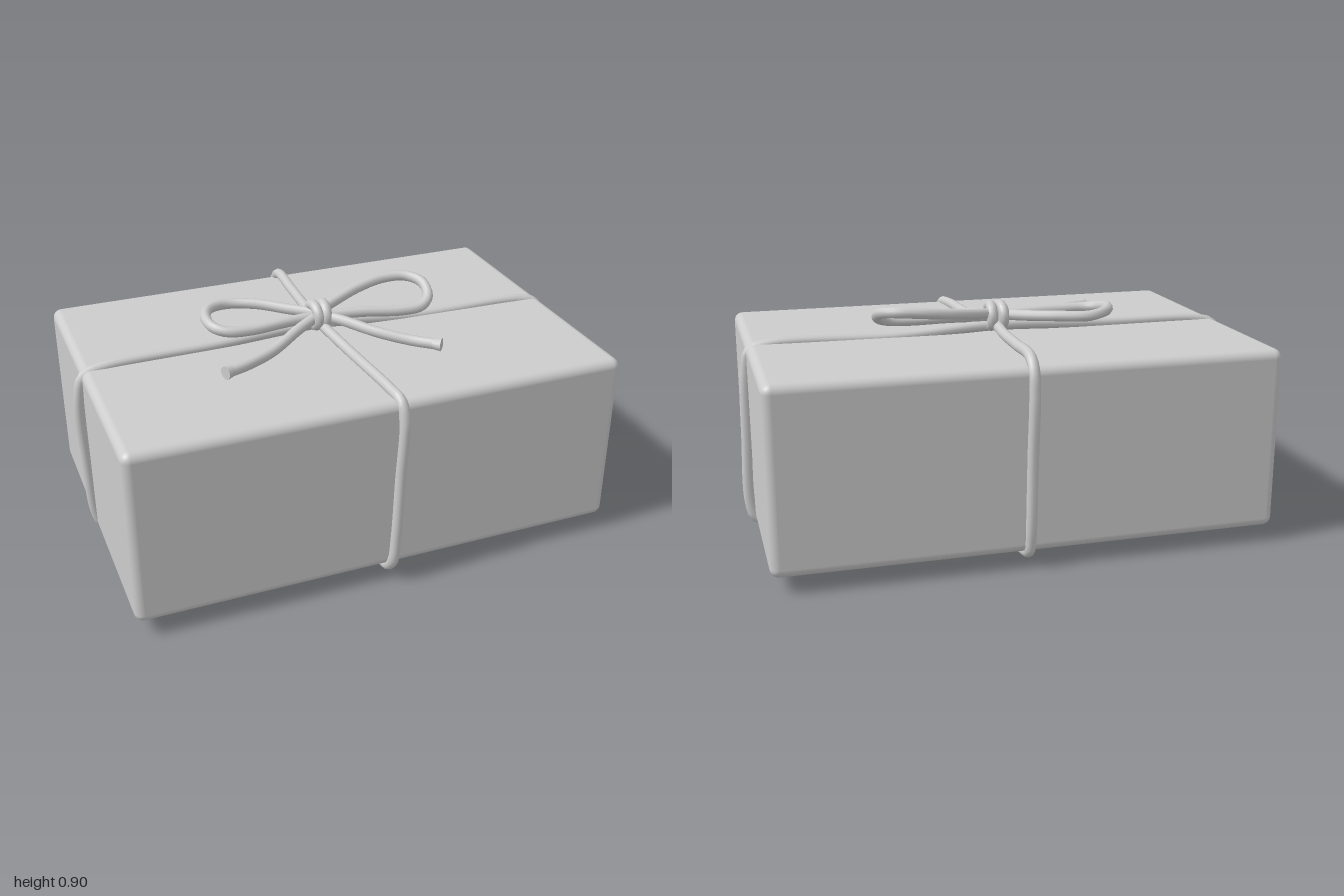
import * as THREE from 'three';
import { RoundedBoxGeometry } from 'three/addons/geometries/RoundedBoxGeometry.js';

const R = 0.021; // string radius

export function createModel() {
  const model = new THREE.Group();
  model.name = 'parcel';
  const grey = new THREE.MeshStandardMaterial({ color: 0xcccccc });
  grey.name = 'light grey';

  const add = (name, geometry, parent = model) => {
    const mesh = new THREE.Mesh(geometry, grey);
    mesh.name = name;
    parent.add(mesh);
    return mesh;
  };
  const curveOf = (points, closed = false) =>
    new THREE.CatmullRomCurve3(points.map((p) => new THREE.Vector3(...p)), closed, 'centripetal');
  const string = (name, points, closed, parent) =>
    add(name, new THREE.TubeGeometry(curveOf(points, closed), closed ? 200 : 56, R, 10, closed), parent);

  // Box with softly rounded edges
  add('box', new RoundedBoxGeometry(1.92, 0.7, 1.256, 4, 0.035)).position.set(0, 0.41, -0.005);

  // String running left to right around the box
  string('lengthwiseString', [
    [0, 0.785, -0.045], [-0.45, 0.768, -0.04], [-0.88, 0.758, -0.036], [-0.95, 0.735, -0.035],
    [-0.976, 0.65, -0.035], [-0.972, 0.35, -0.04], [-0.96, 0.13, -0.04], [-0.938, 0.075, -0.04],
    [-0.88, 0.062, -0.04], [-0.4, 0.072, -0.04], [-0.2, 0.052, -0.04], [0, 0.033, -0.04],
    [0.15, 0.042, -0.04], [0.45, 0.07, -0.04], [0.88, 0.063, -0.04], [0.955, 0.072, -0.038],
    [0.977, 0.13, -0.034], [0.976, 0.4, -0.02], [0.966, 0.65, -0.005], [0.945, 0.735, -0.005],
    [0.87, 0.757, -0.015], [0.4, 0.757, -0.03],
  ], true);

  // String running front to back around the box
  string('crosswiseString', [
    [-0.008, 0.79, -0.05], [0.02, 0.772, 0.2], [0.045, 0.768, 0.53], [0.053, 0.755, 0.605],
    [0.056, 0.69, 0.634], [0.045, 0.45, 0.638], [0.032, 0.2, 0.644], [0.025, 0.09, 0.636],
    [0.022, 0.045, 0.595], [0.022, 0.034, 0.52], [0.02, 0.028, 0.25], [0.02, 0.021, -0.04],
    [0.02, 0.03, -0.3], [0.02, 0.042, -0.56], [0.02, 0.06, -0.615], [0.019, 0.12, -0.63],
    [0.016, 0.4, -0.637], [0.012, 0.66, -0.642], [0.011, 0.745, -0.625], [0.01, 0.785, -0.575],
    [0.005, 0.785, -0.4], [-0.002, 0.783, -0.2],
  ], true);

  // Bow
  const bow = new THREE.Group();
  bow.name = 'bow';
  model.add(bow);
  string('rightLoop', [
    [-0.02, 0.83, -0.05], [-0.1, 0.832, -0.11], [-0.22, 0.84, -0.195], [-0.33, 0.842, -0.234],
    [-0.41, 0.85, -0.2], [-0.448, 0.85, -0.125], [-0.44, 0.84, -0.05], [-0.395, 0.83, -0.012],
    [-0.3, 0.825, -0.004], [-0.15, 0.825, -0.022], [-0.01, 0.82, -0.04],
  ], false, bow);
  string('leftLoop', [
    [-0.01, 0.835, -0.05], [0.08, 0.845, -0.1], [0.2, 0.862, -0.152], [0.32, 0.876, -0.175],
    [0.41, 0.88, -0.155], [0.46, 0.868, -0.095], [0.455, 0.835, -0.025], [0.41, 0.815, 0.012],
    [0.32, 0.81, 0.012], [0.17, 0.818, -0.015], [-0.01, 0.82, -0.04],
  ], false, bow);

  // Loose ends, each with a slightly flared cut tip
  const tail = (side, points) => {
    string(side + 'Tail', points, false, bow);
    const tangent = curveOf(points).getTangent(1);
    const tip = add(side + 'TailTip', new THREE.CylinderGeometry(R * 1.25, R * 0.98, 0.035, 10), bow);
    tip.position.set(...points[points.length - 1]);
    tip.quaternion.setFromUnitVectors(new THREE.Vector3(0, 1, 0), tangent);
  };
  tail('right', [[-0.02, 0.825, -0.03], [-0.12, 0.812, 0.03], [-0.26, 0.788, 0.125],
    [-0.38, 0.788, 0.195], [-0.465, 0.79, 0.23]]);
  tail('left', [[0, 0.825, -0.03], [0.06, 0.82, 0.035], [0.16, 0.8, 0.14],
    [0.27, 0.783, 0.225], [0.345, 0.783, 0.29]]);

  // Knot: two wraps around a solid core
  for (const [x, tilt] of [[-0.03, 0.08], [0.01, -0.06]]) {
    const wrap = add('knotWrap', new THREE.TorusGeometry(0.041, R, 10, 24), bow);
    wrap.position.set(x, 0.825, -0.045);
    wrap.rotation.y = Math.PI / 2 + tilt;
    wrap.scale.x = 1.1;
  }
  const core = add('knotCore', new THREE.SphereGeometry(0.04, 16, 12), bow);
  core.position.set(-0.01, 0.825, -0.045);

  return model;
}
